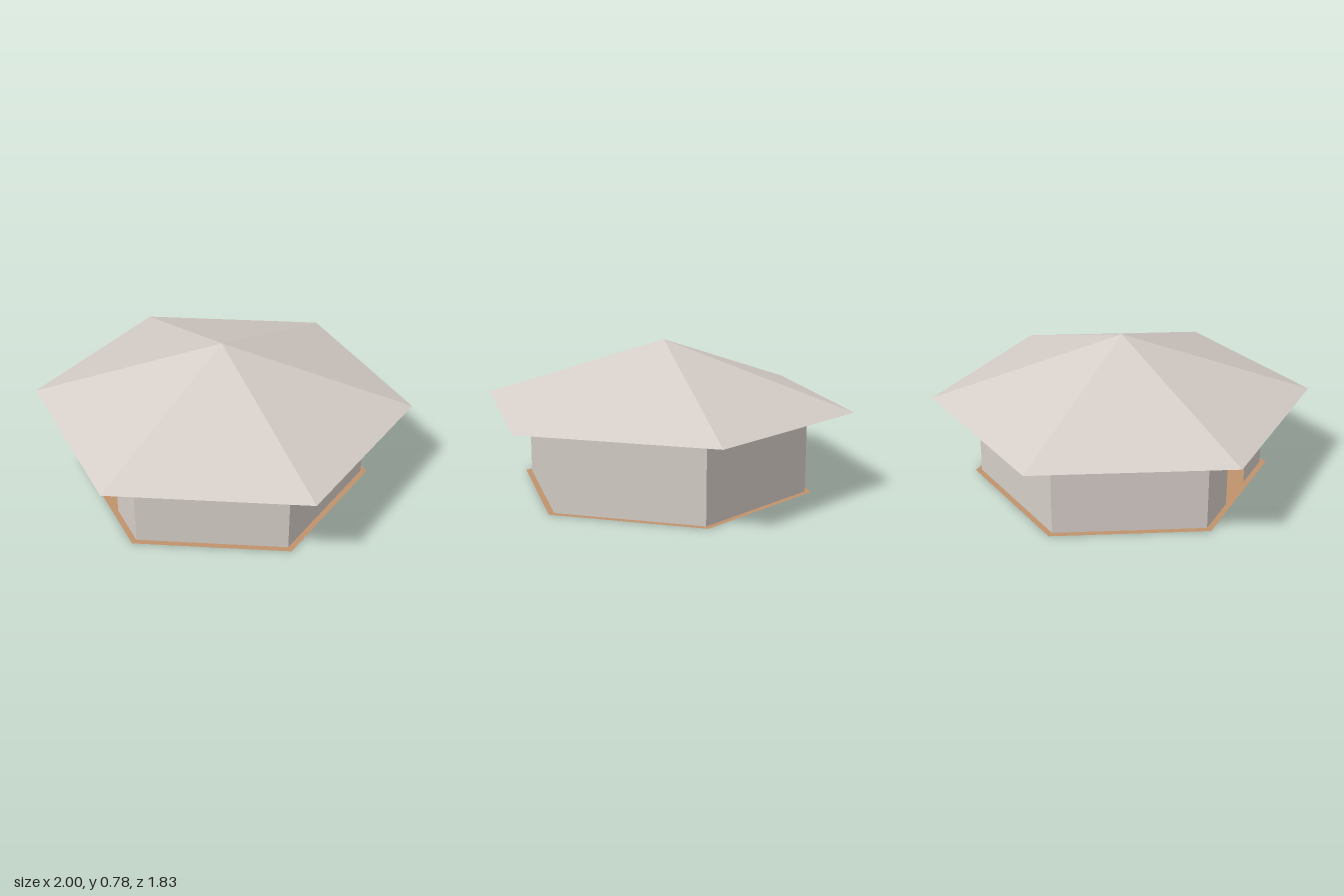
import * as THREE from 'three';

const SIDES = 6;
const TURN = THREE.MathUtils.degToRad(24.2); // direction of the first corner, from +z
const WALL_R = 0.766, WALL_H = 0.44;
const ROOF_R = 1.005, ROOF_H = 0.337;
const FLOOR_R = 0.8;
const DOOR_W = WALL_R / 3, DOOR_H = 0.335, DOOR_SIDE = 4;

function material(name, color) {
  const m = new THREE.MeshStandardMaterial({ color, side: THREE.DoubleSide, flatShading: true });
  m.name = name;
  return m;
}

// One flat wall panel, optionally with a doorway cut up from the floor
function wallPanel(hasDoor) {
  const w = WALL_R / 2, d = DOOR_W / 2;
  const outline = [[-w, 0]];
  if (hasDoor) outline.push([-d, 0], [-d, DOOR_H], [d, DOOR_H], [d, 0]);
  outline.push([w, 0], [w, WALL_H], [-w, WALL_H]);
  return new THREE.ShapeGeometry(new THREE.Shape(outline.map(([x, y]) => new THREE.Vector2(x, y))));
}

export function createModel() {
  const model = new THREE.Group();
  model.name = 'hexagonalHut';
  const plaster = material('palePlaster', 0xd6cec8);
  const wood = material('woodFloor', 0xc0926c);

  // Floor sheet, a little wider than the walls
  const floor = new THREE.Mesh(
    new THREE.CircleGeometry(FLOOR_R, SIDES, TURN - Math.PI / 2).rotateX(-Math.PI / 2), wood);
  floor.name = 'floor';
  model.add(floor);

  // Six walls, one with the open doorway
  const walls = new THREE.Group();
  walls.name = 'walls';
  const apothem = WALL_R * Math.cos(Math.PI / SIDES);
  for (let i = 0; i < SIDES; i++) {
    const a = TURN + (i + 0.5) * Math.PI * 2 / SIDES;
    const wall = new THREE.Mesh(wallPanel(i === DOOR_SIDE), plaster);
    wall.name = i === DOOR_SIDE ? 'doorwayWall' : 'wall';
    wall.position.set(Math.sin(a) * apothem, 0, Math.cos(a) * apothem);
    wall.rotation.y = a;
    walls.add(wall);
  }
  model.add(walls);

  // Overhanging pyramid roof, open underneath
  const cone = new THREE.ConeGeometry(ROOF_R, ROOF_H, SIDES, 1, true, TURN).toNonIndexed();
  cone.computeVertexNormals();
  const roof = new THREE.Mesh(cone, plaster);
  roof.name = 'roof';
  roof.position.y = WALL_H + ROOF_H / 2;
  model.add(roof);

  return model;
}
